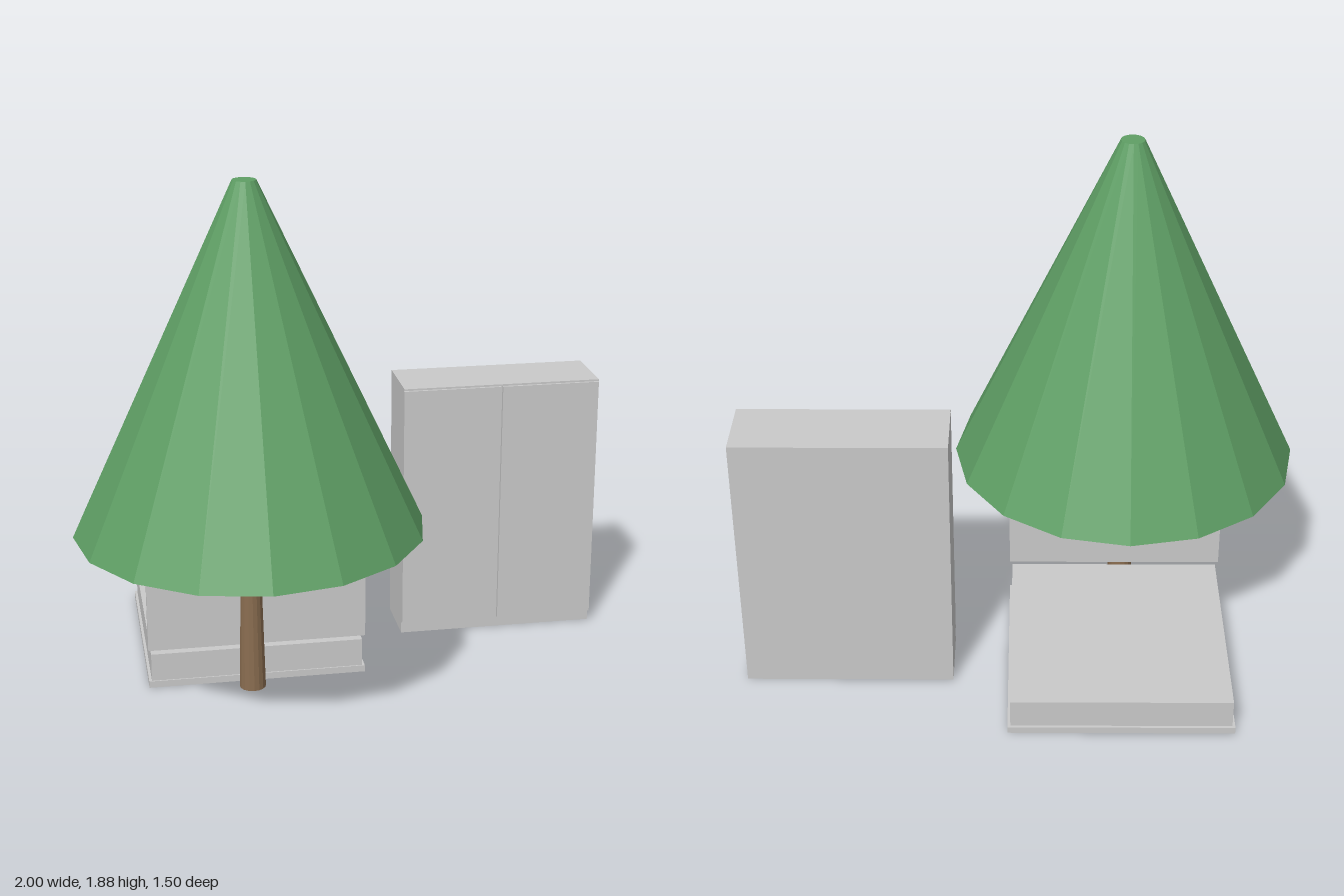
import * as THREE from 'three';

const material = (name, color, flatShading = false) => {
  const m = new THREE.MeshStandardMaterial({ color, flatShading });
  m.name = name;
  return m;
};

export function createModel() {
  const foliage = material('foliage green', 0x5f9f65, true);
  const bark = material('bark brown', 0x8a6d50, true);
  const grey = material('furniture grey', 0xcacaca);

  const model = new THREE.Group();
  model.name = 'treeAndFurniture';

  const group = (name) => {
    const g = new THREE.Group();
    g.name = name;
    model.add(g);
    return g;
  };

  // Box given by its lowest and highest corner
  const box = (parent, name, [x0, y0, z0], [x1, y1, z1]) => {
    const mesh = new THREE.Mesh(new THREE.BoxGeometry(x1 - x0, y1 - y0, z1 - z0), grey);
    mesh.position.set((x0 + x1) / 2, (y0 + y1) / 2, (z0 + z1) / 2);
    mesh.name = name;
    parent.add(mesh);
  };

  // Tapered round part standing on height y0
  const taper = (parent, name, rTop, rBottom, y0, y1, mat) => {
    const mesh = new THREE.Mesh(new THREE.CylinderGeometry(rTop, rBottom, y1 - y0, 16), mat);
    mesh.position.y = (y0 + y1) / 2;
    mesh.name = name;
    parent.add(mesh);
  };

  // Tree
  const tree = group('tree');
  tree.position.set(-0.375, 0, 0.123);
  taper(tree, 'trunk', 0.033, 0.048, 0, 0.635, bark);
  taper(tree, 'crown', 0.042, 0.625, 0.627, 1.875, foliage);

  // Bed with a raised headboard
  const bed = group('bed');
  box(bed, 'bedBase', [-0.75, 0, -0.75], [0.05, 0.025, 0.08]);
  box(bed, 'mattress', [-0.74, 0.025, -0.74], [0.04, 0.13, 0.075]);
  box(bed, 'headboard', [-0.75, 0.15, 0.063], [0.05, 0.42, 0.085]);

  // Wardrobe with two doors over a recessed plinth
  const wardrobe = group('wardrobe');
  box(wardrobe, 'plinth', [0.25, 0, -0.46], [1, 0.045, -0.23]);
  box(wardrobe, 'cabinet', [0.25, 0.045, -0.46], [1, 1, -0.225]);
  box(wardrobe, 'topEdge', [0.25, 0.993, -0.225], [1, 1, -0.21]);
  box(wardrobe, 'rightDoor', [0.25, 0.045, -0.225], [0.621, 0.99, -0.21]);
  box(wardrobe, 'leftDoor', [0.628, 0.045, -0.225], [1, 0.99, -0.21]);

  return model;
}
